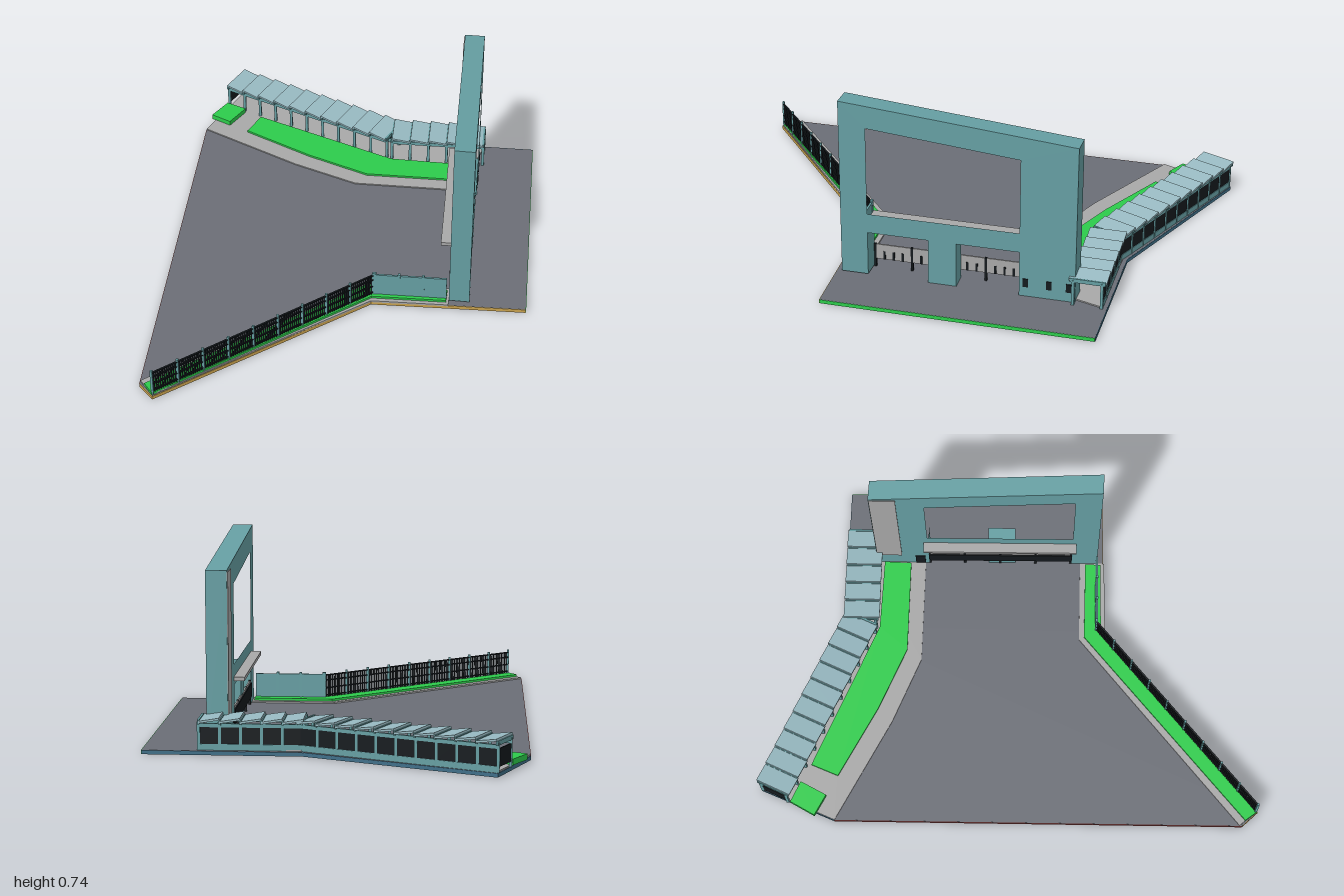
import * as THREE from 'three';
import { mergeGeometries } from 'three/addons/utils/BufferGeometryUtils.js';

const material = (name, color) => {
  const m = new THREE.MeshStandardMaterial({ color });
  m.name = name;
  return m;
};

export function createModel() {
  const asphalt = material('asphalt', 0x6b6e76);
  const paving = material('paving', 0xa8a8a8);
  const grass = material('grass', 0x2dcc4b);
  const teal = material('teal', 0x669fa3);
  const roofGlass = material('roofGlass', 0x98bac2);
  const dark = material('dark', 0x14191d);
  const sand = material('sand', 0xc9a24e);
  const brick = material('brick', 0x9a4a48);
  const blue = material('blue', 0x3f6f88);

  const model = new THREE.Group();
  model.name = 'gatewayPlaza';

  const add = (name, geometry, mat) => {
    const list = Array.isArray(geometry) ? geometry : [geometry];
    const mesh = new THREE.Mesh(list.length > 1 ? mergeGeometries(list) : list[0], mat);
    mesh.name = name;
    model.add(mesh);
  };

  // Flat plate from an (x, z) outline, between heights y0 and y1
  const plate = (points, y0, y1) => {
    const shape = new THREE.Shape(points.map(([x, z]) => new THREE.Vector2(x, -z)));
    return new THREE.ExtrudeGeometry(shape, { depth: y1 - y0, bevelEnabled: false })
      .rotateX(-Math.PI / 2).translate(0, y0, 0);
  };

  // Box standing along the line from a to b; tilt lifts one end
  const wall = (a, b, y0, y1, thick, tilt = 0) => {
    const dx = b[0] - a[0], dz = b[1] - a[1];
    return new THREE.BoxGeometry(Math.hypot(dx, dz), y1 - y0, thick)
      .rotateZ(tilt).rotateY(-Math.atan2(dz, dx))
      .translate((a[0] + b[0]) / 2, (y0 + y1) / 2, (a[1] + b[1]) / 2);
  };
  const lerp = (a, b, t) => [a[0] + (b[0] - a[0]) * t, a[1] + (b[1] - a[1]) * t];
  const post = ([x, z], y0, y1, w) =>
    new THREE.BoxGeometry(w, y1 - y0, w).translate(x, (y0 + y1) / 2, z);

  // Ground slab with coloured edges
  const ground = [[-0.72, -0.69], [-0.66, 0.93], [-0.6, 0.99], [0.13, 0.35], [0.43, 0.335],
    [0.73, 0.32], [0.69, -0.73], [0.1, -0.715], [-0.61, -0.99]];
  add('ground', plate(ground, 0.003, 0.015), asphalt);
  const edgeColours = [brick, sand, sand, sand, sand, grass, blue, blue, blue];
  edgeColours.forEach((mat, i) => {
    add('groundEdge', wall(ground[i], ground[(i + 1) % ground.length], 0, 0.0145, 0.004), mat);
  });

  // Pavements and lawns
  add('backPavement', plate([[-0.72, -0.69], [-0.3, -0.49], [-0.03, -0.39], [0.4, -0.4],
    [0.48, -0.7], [0.1, -0.7], [-0.61, -0.985]], 0.014, 0.02), paving);
  add('backLawn', plate([[-0.5, -0.8], [-0.54, -0.69], [-0.25, -0.55], [0.01, -0.45],
    [0.39, -0.46], [0.39, -0.57], [0.1, -0.57]], 0.018, 0.028), grass);
  add('cornerLawn', plate([[-0.66, -0.87], [-0.575, -0.835], [-0.625, -0.73], [-0.71, -0.77]],
    0.018, 0.04), grass);
  add('frontPavement', plate([[0.43, 0.24], [0.09, 0.25], [-0.66, 0.92], [-0.6, 0.985],
    [0.13, 0.355], [0.43, 0.34]], 0.014, 0.021), paving);
  add('frontLawn', plate([[0.42, 0.262], [0.1, 0.27], [-0.64, 0.942], [-0.603, 0.988],
    [0.13, 0.338], [0.42, 0.325]], 0.018, 0.03), grass);

  // Gate frame: outline in (z, y), sheared so that it stands askew
  const path = (pts, P) => new P(pts.map(([z, y]) => new THREE.Vector2(-z, y)));
  const gateShape = path([[0.31, 0.02], [0.31, 0.74], [-0.6, 0.66], [-0.6, 0.015],
    [-0.385, 0.015], [-0.385, 0.2], [0.205, 0.2], [0.205, 0.02]], THREE.Shape);
  gateShape.holes.push(path([[0.205, 0.28], [0.205, 0.64], [-0.385, 0.585], [-0.385, 0.28]],
    THREE.Path));
  const gateX = z => 0.43 + (z - 0.31) * 0.042;
  const gate = new THREE.ExtrudeGeometry(gateShape, { depth: 0.08, bevelEnabled: false })
    .rotateY(Math.PI / 2);
  const p = gate.attributes.position;
  for (let i = 0; i < p.count; i++) p.setX(i, p.getX(i) + gateX(p.getZ(i)));
  gate.computeVertexNormals();
  add('gateFrame', gate, teal);

  // Lines parallel to the gate, at a given offset from its inner face
  const along = (z, off) => [gateX(z) + off, z];
  add('gatePillar', wall(along(-0.03, 0.04), along(-0.14, 0.04), 0.015, 0.205, 0.075), teal);
  add('gateCanopy', wall(along(0.22, -0.02), along(-0.4, -0.02), 0.218, 0.232, 0.042), paving);
  add('legPanel', wall(along(-0.598, -0.001), along(-0.495, -0.001), 0.1, 0.655, 0.005), paving);
  for (const z of [-0.4, -0.49, -0.565]) {
    add('legWindow', wall(along(z, 0.081), along(z - 0.02, 0.081), 0.055, 0.09, 0.004), dark);
  }
  add('legDoor', wall(along(-0.4, -0.001), along(-0.44, -0.001), 0.02, 0.09, 0.004), dark);

  // Entrance barrier between the gate legs
  add('barrierPanel', wall(along(0.205, 0.005), along(-0.385, 0.005), 0.05, 0.113, 0.006), paving);
  add('barrierBack', wall(along(0.205, -0.001), along(-0.385, -0.001), 0.048, 0.105, 0.005), dark);
  const ticks = [];
  for (let i = 0; i <= 16; i++) {
    ticks.push(post(along(0.2 - i * 0.0364, 0.005), i % 4 ? 0.05 : 0.015, i % 4 ? 0.085 : 0.115, 0.009));
  }
  add('barrierPosts', ticks, dark);

  // Front wall and barred fence
  const bend = [0.135, 0.318], fenceEnd = [-0.6, 0.982];
  add('frontWall', wall(bend, [0.42, 0.308], 0.028, 0.125, 0.008), teal);
  add('frontWallPosts', [0.02, 0.35, 0.68].map(t => post(lerp(bend, [0.42, 0.308], t), 0.028, 0.132, 0.01)), teal);
  const bars = [], fencePosts = [], bays = 9, perBay = 12;
  for (let i = 0; i <= bays * perBay; i++) {
    const at = lerp(bend, fenceEnd, i / (bays * perBay));
    if (i % perBay) bars.push(post(at, 0.028, 0.12, 0.0055));
    else fencePosts.push(post(at, 0.02, 0.132, 0.009));
  }
  for (const y of [0.035, 0.065, 0.097, 0.118]) bars.push(wall(bend, fenceEnd, y, y + 0.005, 0.007));
  add('fenceBars', bars, dark);
  add('fencePosts', fencePosts, teal);

  // Covered walk with stepped roof panels, in two straight runs
  const runs = [
    { a: [-0.632, -0.932], b: [0.1, -0.638], bays: 10 },
    { a: [0.1, -0.638], b: [0.485, -0.65], bays: 5 },
  ];
  for (const { a, b, bays: n } of runs) {
    const len = Math.hypot(b[0] - a[0], b[1] - a[1]);
    const nx = -(b[1] - a[1]) / len, nz = (b[0] - a[0]) / len;
    const side = (q, d) => [q[0] + nx * d, q[1] + nz * d];
    const roofs = [], ribs = [], frame = [], panels = [];
    for (let i = 0; i <= n; i++) {
      const q = lerp(a, b, i / n);
      frame.push(post(side(q, -0.055), 0.015, 0.12, 0.011), post(side(q, 0.055), 0.015, 0.12, 0.011));
      ribs.push(wall(side(q, -0.068), side(q, 0.068), 0.112, 0.128, 0.008));
      if (i === n) break;
      const r = lerp(a, b, (i + 1) / n);
      roofs.push(wall(q, r, 0.122, 0.13, 0.145, -0.16));
      panels.push(wall(side(q, -0.055), side(r, -0.055), 0.038, 0.1, 0.005));
    }
    for (const d of [-0.055, 0.055]) frame.push(wall(side(a, d), side(b, d), 0.1, 0.114, 0.01));
    frame.push(wall(side(a, -0.055), side(b, -0.055), 0.015, 0.038, 0.01));
    add('walkRoofPanels', roofs, roofGlass);
    add('walkRoofRibs', ribs, teal);
    add('walkFrame', frame, teal);
    add('walkBackPanels', panels, dark);
  }
  // Closed far end of the walk
  add('walkEndPanel', wall([-0.612, -0.983], [-0.652, -0.885], 0.035, 0.1, 0.005), dark);

  return model;
}
